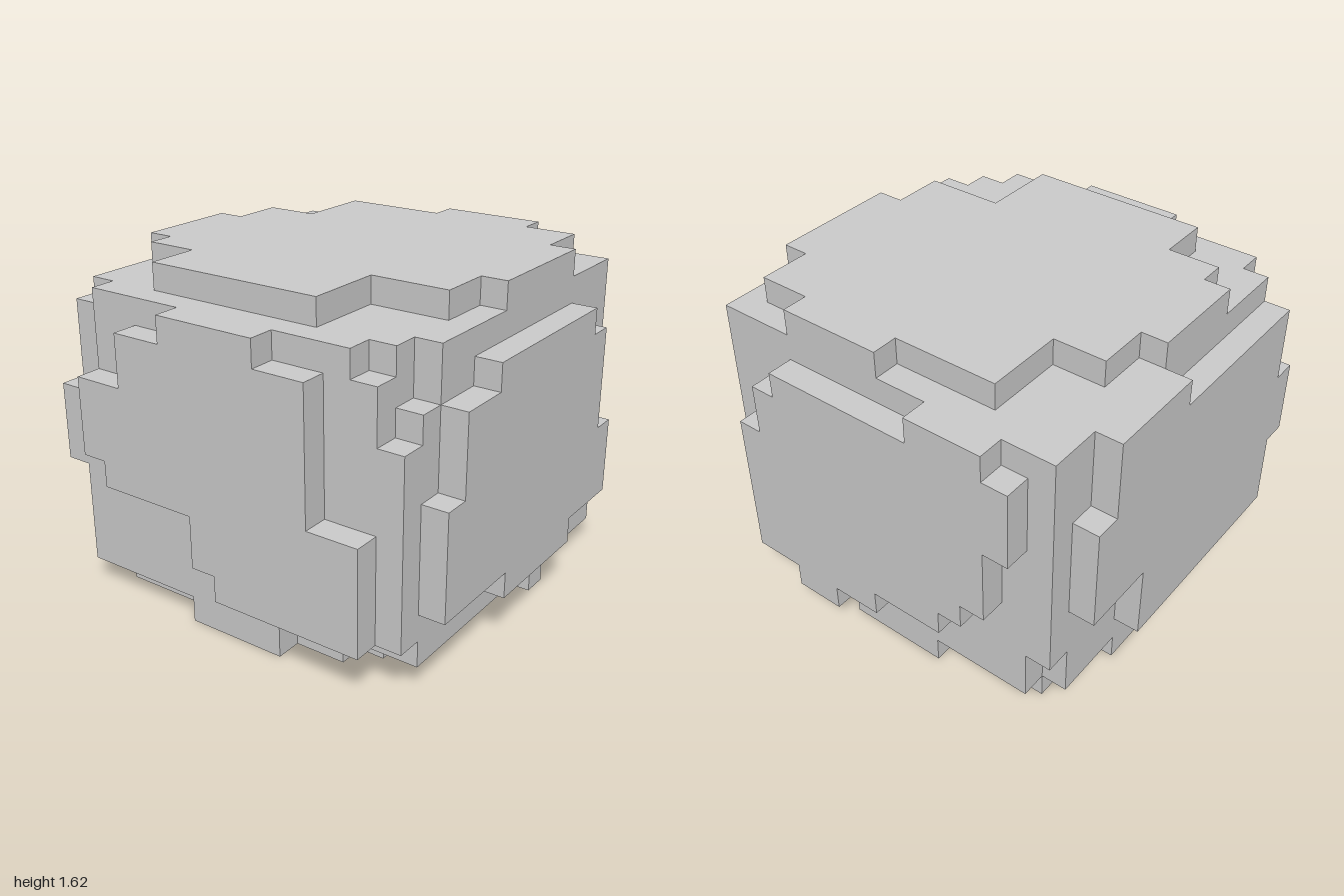
import * as THREE from 'three';

const UNIT = 0.125; // one block; all outlines below are in blocks
const material = new THREE.MeshStandardMaterial({ color: 0xcccccc, flatShading: true });

// Extrudes an outline from level a to level b along an axis.
// Outline pairs are (x, y) for axis z, (z, y) for axis x and (x, z) for axis y.
function slab(name, axis, a, b, outline) {
  const flip = axis === 'x' ? -1 : 1;
  const shape = new THREE.Shape(
    outline.map(([u, v]) => new THREE.Vector2(u * flip * UNIT, v * UNIT)));
  const geometry = new THREE.ExtrudeGeometry(shape, { depth: (b - a) * UNIT, bevelEnabled: false });
  if (axis === 'x') geometry.rotateY(Math.PI / 2).translate(a * UNIT, 0, 0);
  else if (axis === 'y') geometry.rotateX(Math.PI / 2).translate(0, b * UNIT, 0);
  else geometry.translate(0, 0, a * UNIT);
  const mesh = new THREE.Mesh(geometry, material);
  mesh.name = name;
  return mesh;
}

// Core corners, listed counter-clockwise from above in (x, z), whole or chipped
const backRight = { whole: [[7, -7]], notch: [[6, -7], [6, -6], [7, -6]] };
const backLeft = { whole: [[-7, -7]], notch: [[-7, -6], [-6, -6], [-6, -7]] };
const frontLeft = {
  whole: [[-7, 7]],
  edge: [[-6, 7], [-6, 2], [-7, 2]],
  notch: [[-6, 7], [-6, 6], [-7, 6]],
  wide: [[-5, 7], [-5, 6], [-7, 6]],
  stair: [[-5, 7], [-5, 6], [-6, 6], [-6, 5], [-7, 5]],
};

// Layers of the core: bottom, top, front left, back left, back right
const layers = [
  [1, 2, 'edge', 'whole', 'notch'],
  [2, 3, 'whole', 'whole', 'notch'],
  [3, 8, 'whole', 'whole', 'whole'],
  [8, 9, 'whole', 'notch', 'whole'],
  [9, 10, 'notch', 'notch', 'whole'],
  [10, 11, 'wide', 'notch', 'whole'],
  [11, 12, 'stair', 'notch', 'whole'],
];

export function createModel() {
  const model = new THREE.Group();
  model.name = 'blockBoulder';

  // Chipped core
  const core = new THREE.Group();
  core.name = 'core';
  for (const [y0, y1, fl, bl, br] of layers) {
    core.add(slab('coreLayer', 'y', y0, y1,
      [[7, 7], ...frontLeft[fl], ...backLeft[bl], ...backRight[br]]));
  }
  model.add(core);

  // Ragged raised plate on each of the six faces
  model.add(
    slab('frontPlate', 'z', 7, 8, [
      [-6, 3], [-6, 7], [-5, 7], [-5, 10], [-3, 10], [-3, 11], [4, 11], [4, 10], [5, 10],
      [5, 6], [6, 6], [6, 3], [3, 3], [3, 2], [-2, 2], [-2, 3]]),
    slab('backPlate', 'z', -8, -7, [
      [-6, 2], [3, 2], [3, 5], [6, 5], [6, 9], [5, 9], [5, 12], [1, 12], [1, 11],
      [-6, 11], [-6, 8], [-7, 8], [-7, 5], [-6, 5]]),
    slab('leftPlate', 'x', 7, 8, [
      [6, 2], [6, 8], [5, 8], [5, 10], [4, 10], [4, 11], [-2, 11], [-2, 12], [-5, 12],
      [-5, 11], [-6, 11], [-6, 8], [-5, 8], [-5, 5], [-4, 5], [-4, 4], [-3, 4], [-3, 3],
      [0, 3], [0, 2], [2, 2], [2, 1], [4, 1], [4, 2]]),
    slab('rightPlate', 'x', -8, -7, [
      [-6, 6], [-6, 9], [-4, 9], [-4, 11], [-2, 11], [-2, 12], [2, 12], [2, 11], [4, 11],
      [4, 6], [6, 6], [6, 2], [0, 2], [0, 3], [-1, 3], [-1, 5], [-5, 5], [-5, 6]]),
    slab('topPlate', 'y', 12, 13, [
      [-6, 3], [-6, -4], [-4, -4], [-4, -6], [-3, -6], [-3, -7], [1, -7], [1, -6], [3, -6],
      [3, -4], [6, -4], [6, 0], [7, 0], [7, 4], [6, 4], [6, 6], [4, 6], [4, 7], [-1, 7],
      [-1, 6], [-3, 6], [-3, 3]]),
    slab('bottomPlate', 'y', 0, 1, [
      [-6, -6], [-3, -6], [-3, -7], [3, -7], [3, -6], [6, -6], [6, -2], [7, -2], [7, 2],
      [6, 2], [6, 6], [3, 6], [3, 7], [2, 7], [2, 6], [0, 6], [0, 5], [-5, 5], [-5, 4],
      [-6, 4], [-6, 2], [-7, 2], [-7, -2], [-6, -2]]),
  );
  return model;
}
